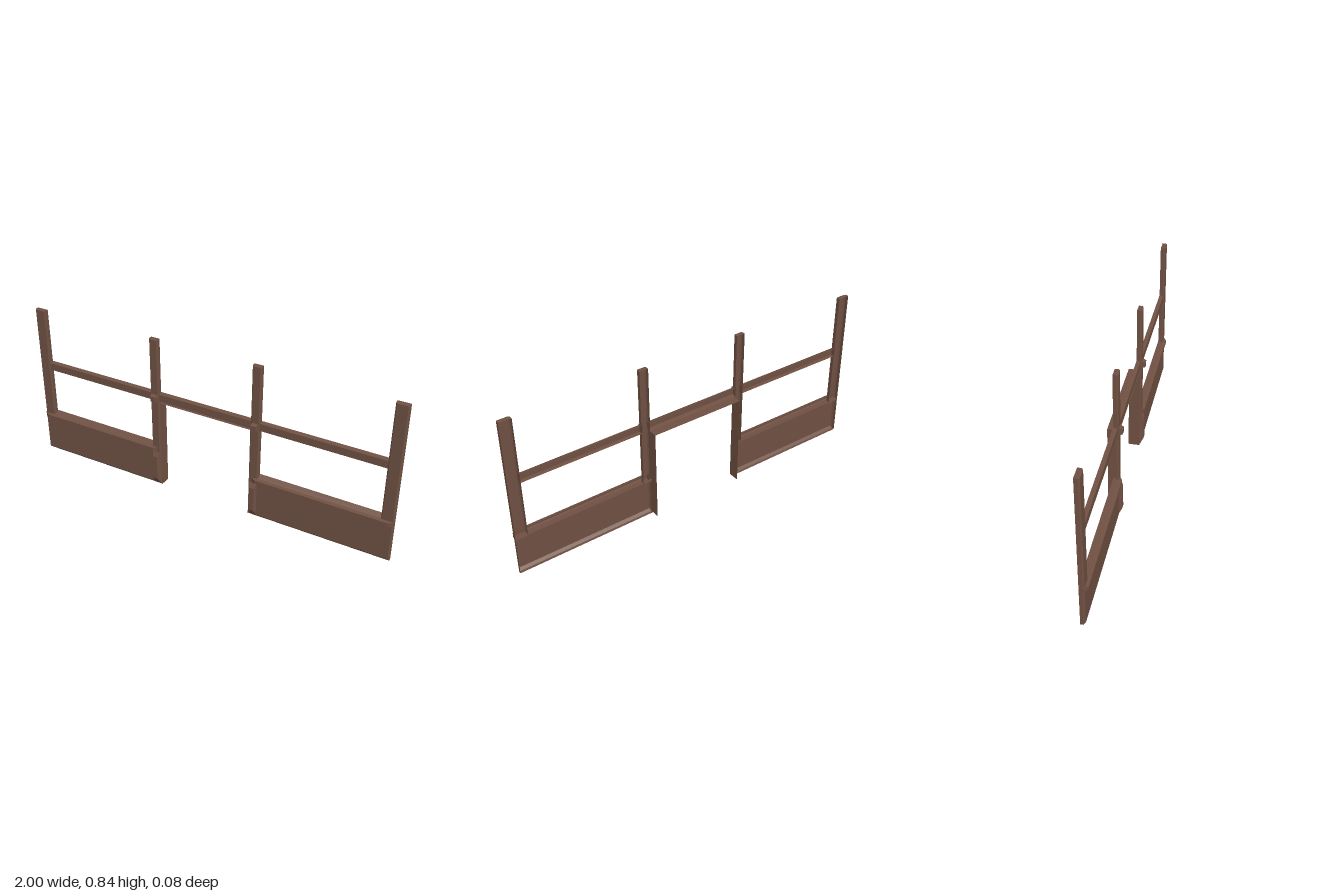
import * as THREE from 'three';

// Open-backed moulded shell: rectangular sections [x0, x1, y0, y1, z] from back to front, capped at the front.
function shell(sections) {
  const pos = [];
  const quad = (a, b, c, d) => pos.push(...a, ...b, ...c, ...a, ...c, ...d);
  const rings = sections.map(([x0, x1, y0, y1, z]) =>
    [[x0, y0, z], [x1, y0, z], [x1, y1, z], [x0, y1, z]]);
  for (let i = 0; i < rings.length - 1; i++) {
    for (let k = 0; k < 4; k++) {
      const n = (k + 1) % 4;
      quad(rings[i][k], rings[i][n], rings[i + 1][n], rings[i + 1][k]);
    }
  }
  quad(...rings[rings.length - 1]);
  const geometry = new THREE.BufferGeometry();
  geometry.setAttribute('position', new THREE.Float32BufferAttribute(pos, 3));
  geometry.computeVertexNormals();
  return geometry;
}

export function createModel() {
  const group = new THREE.Group();
  const wood = new THREE.MeshStandardMaterial({ color: 0x6f5042, side: THREE.DoubleSide });
  wood.name = 'brown wood';

  const add = (name, geometry) => {
    const mesh = new THREE.Mesh(geometry, wood);
    mesh.name = name;
    group.add(mesh);
    return mesh;
  };

  for (const side of [1, -1]) {
    const label = side > 0 ? 'left' : 'right';
    // Sections are given for the +x half and mirrored for the other
    const part = (name, sections) => add(label + name, shell(sections.map(([a, b, ...rest]) =>
      side > 0 ? [a, b, ...rest] : [-b, -a, ...rest])));

    // Uprights
    part('OuterPost', [[0.937, 1, 0.2, 0.843, 0], [0.937, 1, 0.2, 0.843, 0.018],
      [0.943, 0.994, 0.2, 0.841, 0.025]]);
    part('InnerPost', [[0.257, 0.305, 0.2, 0.843, 0], [0.257, 0.305, 0.2, 0.843, 0.018],
      [0.262, 0.3, 0.2, 0.841, 0.025]]);

    // Lower panel with a chamfered foot
    part('LowerPanel', [[0.257, 1, 0, 0.208, 0], [0.257, 1, 0, 0.208, 0.014],
      [0.262, 0.994, 0.013, 0.208, 0.025]]);

    // Sloping window sill
    part('Sill', [[0.27, 1, 0.205, 0.248, 0], [0.27, 1, 0.205, 0.231, 0.022],
      [0.295, 0.975, 0.209, 0.227, 0.039]]);

    // Rail above the window
    part('WindowRail', [[0.3, 0.94, 0.503, 0.55, 0], [0.3, 0.94, 0.505, 0.544, 0.02]]);

    // Raised blocks on the inner post
    part('PostFoot', [[0.262, 0.302, 0.013, 0.202, 0.025], [0.27, 0.294, 0.042, 0.175, 0.039]]);
    part('PostBoss', [[0.264, 0.298, 0.503, 0.541, 0.025], [0.268, 0.294, 0.507, 0.534, 0.043]]);

    // Doorway reveal
    const jamb = add(label + 'DoorJamb', new THREE.PlaneGeometry(0.06, 0.495));
    jamb.rotation.y = -side * Math.PI / 2;
    jamb.position.set(side * 0.255, 0.2475, -0.01);
  }

  // Doorway head
  add('doorRail', shell([[-0.26, 0.26, 0.5, 0.55, 0], [-0.26, 0.26, 0.505, 0.544, 0.02]]));
  const soffit = add('doorSoffit', new THREE.PlaneGeometry(0.51, 0.06));
  soffit.rotation.x = Math.PI / 2;
  soffit.position.set(0, 0.495, -0.01);

  return group;
}
